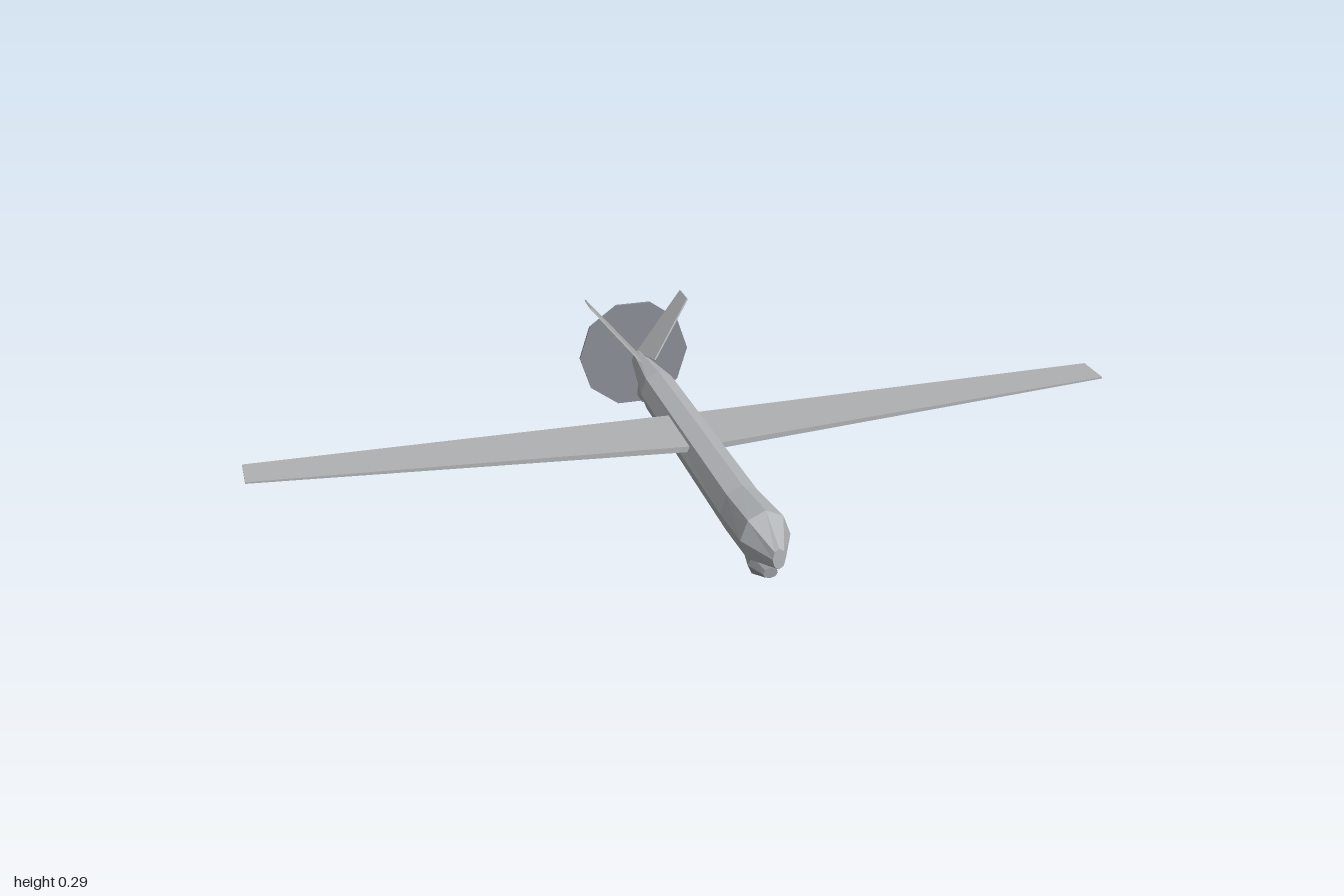
import * as THREE from 'three';

const V = (x, y, z) => new THREE.Vector3(x, y, z);
const paint = (name, color) => {
  const m = new THREE.MeshStandardMaterial({ color });
  m.name = name;
  return m;
};

// Closed faceted solid through equal-sized rings (counter-clockwise seen from the first ring's side)
function loft(rings) {
  const out = [];
  const tri = (a, b, c) => out.push(...a.toArray(), ...b.toArray(), ...c.toArray());
  const n = rings[0].length, last = rings[rings.length - 1];
  for (let s = 0; s < rings.length - 1; s++) {
    for (let i = 0; i < n; i++) {
      const j = (i + 1) % n;
      const a = rings[s][i], b = rings[s][j], c = rings[s + 1][j], d = rings[s + 1][i];
      tri(a, d, b);
      tri(b, d, c);
    }
  }
  for (let i = 1; i < n - 1; i++) {
    tri(rings[0][0], rings[0][i], rings[0][i + 1]);
    tri(last[0], last[i + 1], last[i]);
  }
  const g = new THREE.BufferGeometry();
  g.setAttribute('position', new THREE.Float32BufferAttribute(out, 3));
  g.computeVertexNormals();
  return g;
}

// Eight-sided ring with a corner at the top; mid is the height of the widest corners
function octagon(z, halfWidth, bottom, mid, top) {
  return Array.from({ length: 8 }, (_, i) => {
    const a = i * Math.PI / 4, s = Math.sin(a);
    return V(Math.cos(a) * halfWidth, mid + s * (s > 0 ? top - mid : mid - bottom), z);
  });
}

// Thin flat plate from an outline
function plate(points, half) {
  const n = points[1].clone().sub(points[0]).cross(points[2].clone().sub(points[0])).normalize();
  return loft([half, -half].map(h => points.map(p => p.clone().addScaledVector(n, h))));
}

export function createModel() {
  const model = new THREE.Group();
  model.name = 'droneAircraft';
  const hull = paint('hullGrey', 0xb4b7ba);
  const wingGrey = paint('wingGrey', 0xb0b1b3);
  const sensorGrey = paint('sensorGrey', 0x979a9d);
  const discGrey = paint('propellerGrey', 0x8a8e96);
  for (const m of [hull, wingGrey, sensorGrey, discGrey]) m.flatShading = true;
  const add = (name, geometry, material) => {
    const mesh = new THREE.Mesh(geometry, material);
    mesh.name = name;
    model.add(mesh);
    return mesh;
  };

  // Fuselage with bulged nose and tapered tail
  add('fuselage', loft([
    octagon(0.573, 0.014, 0.112, 0.136, 0.159),
    octagon(0.485, 0.054, 0.079, 0.140, 0.202),
    octagon(0.33, 0.049, 0.066, 0.125, 0.186),
    octagon(-0.33, 0.045, 0.071, 0.125, 0.179),
    octagon(-0.527, 0.016, 0.104, 0.130, 0.158),
  ]), hull);

  // Sensor pod under the nose
  add('sensorPod', loft([
    octagon(0.52, 0.016, 0.064, 0.075, 0.088),
    octagon(0.463, 0.03, 0.04, 0.068, 0.095),
    octagon(0.383, 0.016, 0.056, 0.068, 0.08),
  ]), sensorGrey);

  // One-piece tapered wing with dihedral
  const tip = x => [V(x, 0.182, -0.07), V(x, 0.186, -0.07), V(x, 0.186, 0.02), V(x, 0.182, 0.02)];
  const root = [V(0, 0.14, -0.12), V(0, 0.157, -0.12), V(0, 0.157, 0.06), V(0, 0.143, 0.06)];
  add('wing', loft([tip(1), root, tip(-1)]), wingGrey);

  // V-tail, mirrored
  for (const side of [1, -1]) {
    add(side > 0 ? 'leftTailFin' : 'rightTailFin', plate([
      V(side * 0.018, 0.167, -0.43),
      V(side * 0.123, 0.29, -0.503),
      V(side * 0.123, 0.29, -0.567),
      V(0, 0.146, -0.54),
    ], 0.002), wingGrey);
  }

  // Lower fin
  add('lowerFin', plate([
    V(0, 0.12, -0.44), V(0, 0.034, -0.482), V(0, 0.034, -0.528), V(0, 0.12, -0.518),
  ], 0.002), wingGrey);

  // Ten-sided propeller disc behind the tail
  const disc = new THREE.CylinderGeometry(0.14, 0.14, 0.006, 10);
  disc.rotateY(Math.PI / 2).rotateX(Math.PI / 2);
  add('propellerDisc', disc, discGrey).position.set(0, 0.134, -0.569);

  return model;
}
